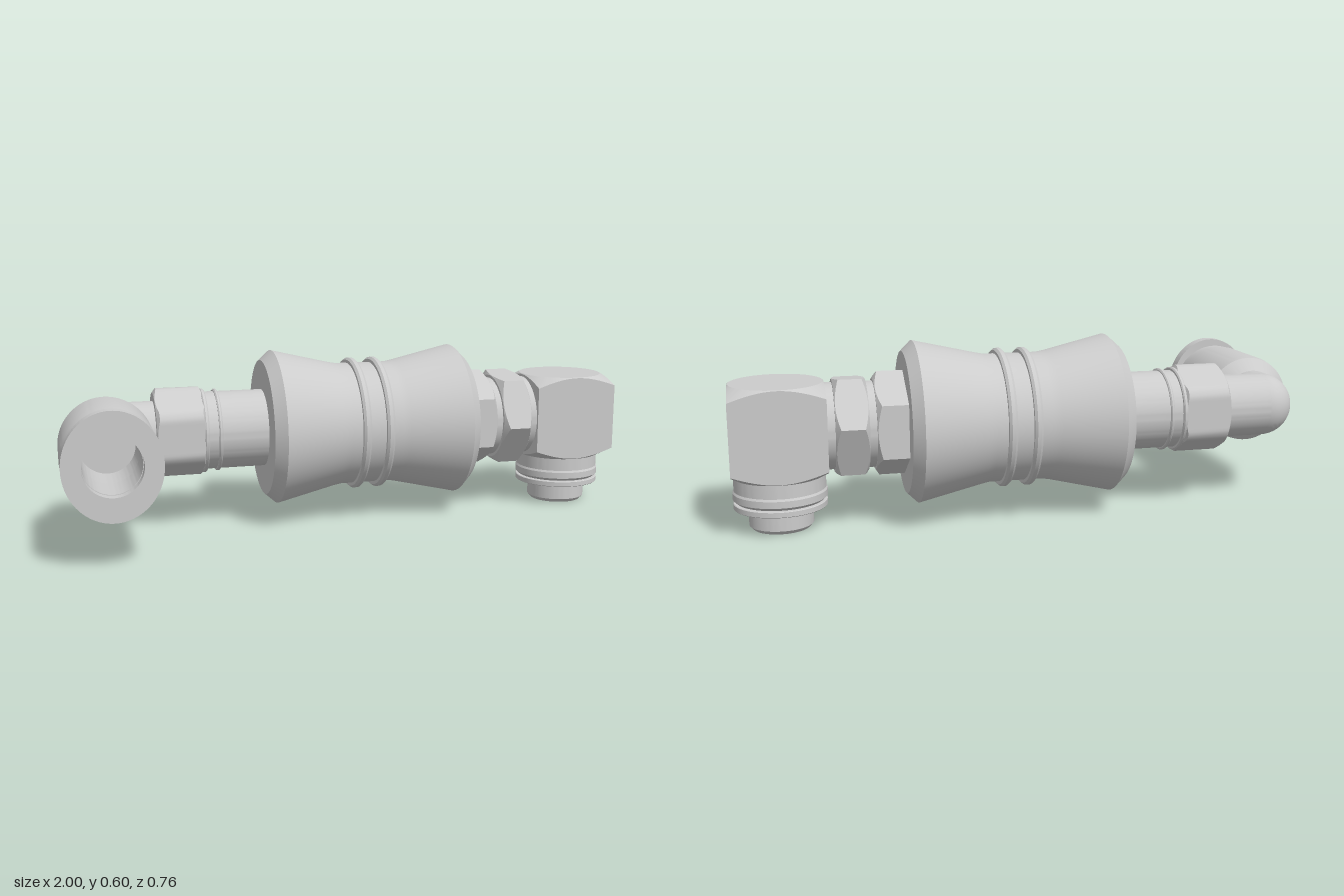
import * as THREE from 'three';
import { toCreasedNormals } from 'three/addons/utils/BufferGeometryUtils.js';

const AXIS_Y = 0.33, AXIS_Z = -0.11;
const material = new THREE.MeshStandardMaterial({ color: 0xcccccc });

// Turned part: profile rows are [radius, distance along the axis]
const turned = (rows) =>
  new THREE.LatheGeometry(rows.map(([r, h]) => new THREE.Vector2(r, h)), 96);

// Solid cylinder with small bevels at both ends
const rod = (r, h0, h1, b = 0.004) =>
  turned([[0, h0], [r - b, h0], [r, h0 + b], [r, h1 - b], [r - b, h1], [0, h1]]);

// Polygonal prism whose corners are cut by a cone at both ends
function nut(sides, apothem, h0, h1, slope = 0.58, cap = Infinity) {
  const geo = turned([[0, h0], [1, h0], [1, h0], [1, h1], [1, h1], [0, h1]]);
  const p = geo.attributes.position;
  const step = (2 * Math.PI) / sides;
  for (let i = 0; i < p.count; i++) {
    const row = i % 6;
    if (row === 0 || row === 5) continue;
    const phi = Math.atan2(p.getX(i), p.getZ(i));
    const local = phi - Math.round(phi / step) * step;
    const full = Math.min(apothem / Math.cos(local), cap);
    const drop = (full - apothem) * slope + 0.002;
    const r = row === 2 || row === 3 ? full : apothem - 0.002;
    const h = row === 1 ? h0 : row === 2 ? h0 + drop : row === 3 ? h1 - drop : h1;
    p.setXYZ(i, Math.sin(phi) * r, h, Math.cos(phi) * r);
  }
  return geo;
}

const alongX = (geo) => geo.rotateZ(-Math.PI / 2);
const alongZ = (geo) => geo.rotateX(Math.PI / 2);

export function createModel() {
  const model = new THREE.Group();
  model.name = 'rotaryElbowFitting';

  const add = (name, geo, x = 0, y = AXIS_Y, z = AXIS_Z) => {
    const mesh = new THREE.Mesh(toCreasedNormals(geo, 0.4), material);
    mesh.name = name;
    mesh.position.set(x, y, z);
    model.add(mesh);
    return mesh;
  };

  // Waisted main sleeve with two raised rings
  add('mainSleeve', alongX(turned([
    [0, -0.3], [0.237, -0.3], [0.271, -0.262], [0.222, -0.055], [0.217, -0.025],
    [0.217, 0.16], [0.222, 0.185], [0.271, 0.4], [0.237, 0.435], [0, 0.435],
  ])));
  for (const x of [0.026, 0.11]) {
    add('sleeveRing', alongX(turned([
      [0.21, x - 0.014], [0.228, x - 0.014], [0.235, x - 0.006],
      [0.235, x + 0.006], [0.228, x + 0.014], [0.21, x + 0.014],
    ])));
  }

  // Left shaft, retaining ring and nut
  add('leftShaft', alongX(rod(0.135, -0.53, -0.29)));
  add('shaftRing', alongX(rod(0.143, -0.472, -0.459)));
  add('nutCollar', alongX(rod(0.146, -0.52, -0.505)));
  add('leftNut', alongX(nut(6, 0.14, -0.68, -0.513, 0.58, 0.154)));

  // Left elbow: two pipes meeting in a rounded corner
  const ex = -0.847;
  add('elbowPipe', alongX(rod(0.11, ex, -0.67)));
  add('elbowCorner', new THREE.SphereGeometry(0.11, 48, 32), ex);
  add('elbowOutletPipe', alongZ(rod(0.109, 0, 0.14)), ex);

  // Push-in socket, open at the front
  add('socketBody', alongZ(turned([
    [0, -0.05], [0.105, -0.05], [0.153, -0.005], [0.156, 0.02], [0.156, 0.25],
    [0.152, 0.285], [0.152, 0.31], [0.148, 0.315], [0.095, 0.315],
    [0.092, 0.06], [0, 0.06],
  ])), ex, 0.327, 0);

  // Release button: round neck and oval flange around the bore
  add('buttonNeck', alongZ(turned([
    [0.092, 0.2], [0.106, 0.2], [0.106, 0.35], [0.092, 0.35], [0.092, 0.2],
  ])), ex, 0.327, 0);
  const oval = new THREE.Shape().absellipse(0, 0, 0.154, 0.173, 0, Math.PI * 2);
  oval.holes.push(new THREE.Path().absellipse(0, 0, 0.094, 0.094, 0, Math.PI * 2, true));
  add('releaseButton', new THREE.ExtrudeGeometry(oval, {
    depth: 0.041, bevelEnabled: false, curveSegments: 72,
  }), ex, 0.327, 0.343);

  // Right side: fixed nut, necks and a slightly turned lock nut
  add('sleeveNut', alongX(nut(6, 0.152, 0.42, 0.536)));
  add('rightNeck', alongX(rod(0.143, 0.53, 0.71)));
  add('lockNut', alongX(nut(6, 0.155, 0.56, 0.668).rotateY(-0.41)));

  // Square elbow block with cone-cut corners
  const bx = 0.845;
  add('elbowBlock', nut(4, 0.152, 0.178, 0.483, 0.52), bx, 0);

  // Downward port: shoulder, seal, flange and stem
  add('portShoulder', turned([
    [0, 0.094], [0.142, 0.094], [0.153, 0.104], [0.153, 0.126],
    [0.149, 0.133], [0.149, 0.182], [0, 0.182],
  ]), bx, 0);
  add('portNeck', rod(0.135, 0.08, 0.1), bx, 0);
  add('portFlange', rod(0.152, 0.072, 0.092, 0.002), bx, 0);
  add('portStem', turned([
    [0, 0], [0.093, 0], [0.105, 0.013], [0.105, 0.08], [0, 0.08],
  ]), bx, 0);

  return model;
}
